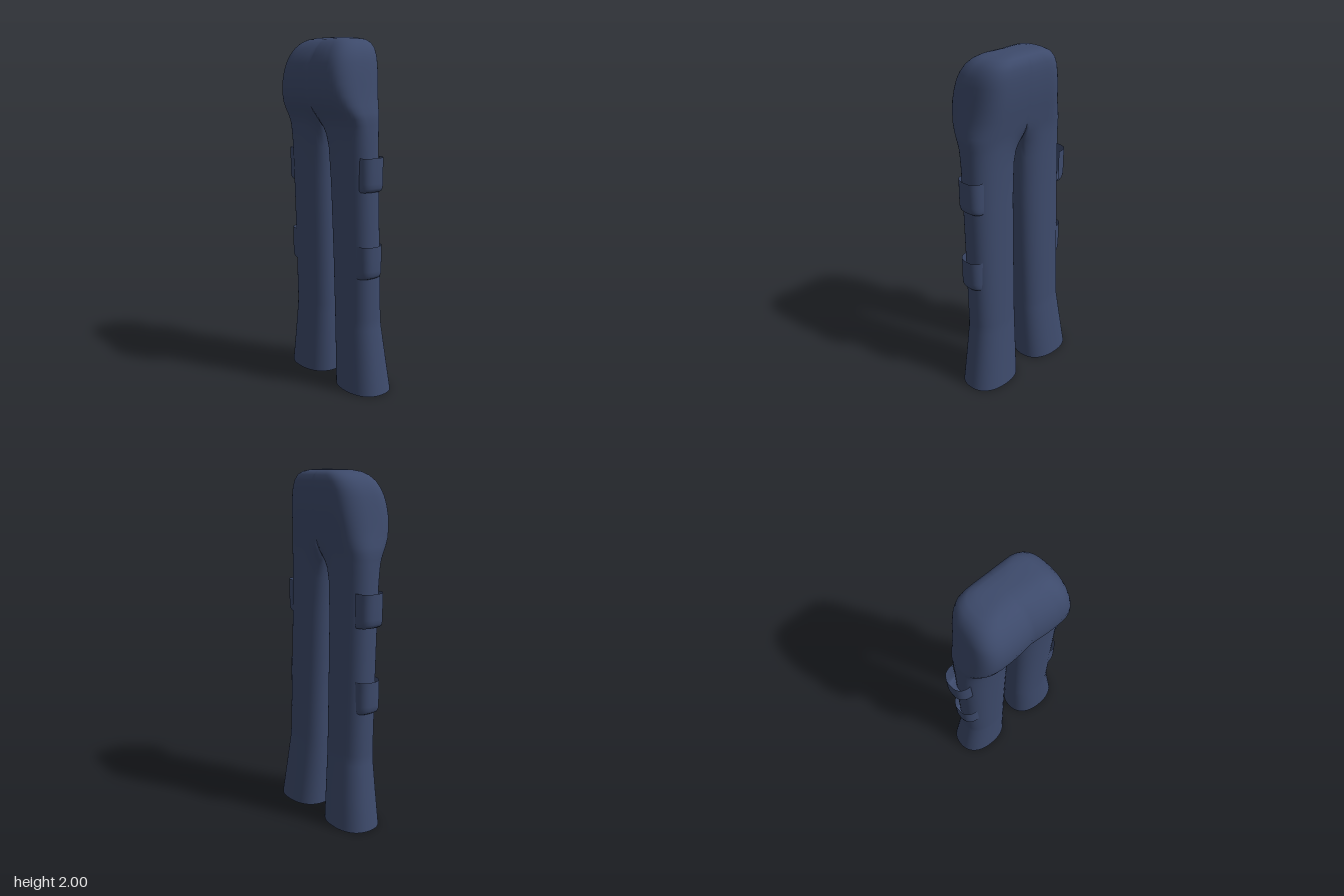
import * as THREE from 'three';
import { mergeGeometries, mergeVertices } from 'three/addons/utils/BufferGeometryUtils.js';

const cloth = new THREE.MeshStandardMaterial({ color: 0x3d4a6b, side: THREE.DoubleSide });
const N = 48;
const { lerp } = THREE.MathUtils;

// Profile rows: y, outer x, inner x, front z, back z, blend from leg (0) to hips (1)
const ROWS = [
  [0, 0.392, 0.05, 0.08, -0.19, 0],
  [0.2, 0.362, 0.046, 0.074, -0.17, 0],
  [0.38, 0.336, 0.042, 0.07, -0.152, 0],
  [0.44, 0.333, 0.041, 0.07, -0.148, 0],
  [0.8, 0.333, 0.035, 0.077, -0.135, 0],
  [1.2, 0.332, 0.028, 0.09, -0.123, 0],
  [1.4, 0.331, 0.02, 0.1, -0.121, 0.03],
  [1.47, 0.331, 0.013, 0.106, -0.122, 0.15],
  [1.51, 0.33, 0.007, 0.11, -0.123, 0.35],
  [1.535, 0.33, 0, 0.116, -0.124, 0.55],
  [1.57, 0.33, 0, 0.128, -0.126, 0.82],
  [1.6, 0.326, 0, 0.146, -0.13, 0.96],
  [1.64, 0.317, 0, 0.168, -0.135, 1],
  [1.69, 0.307, 0, 0.184, -0.142, 1],
  [1.75, 0.297, 0, 0.19, -0.15, 1],
  [1.81, 0.287, 0, 0.184, -0.155, 1],
  [1.86, 0.277, 0, 0.172, -0.157, 1],
  [1.9, 0.266, 0, 0.154, -0.157, 1],
  [1.94, 0.246, 0, 0.129, -0.154, 1],
  [1.97, 0.218, 0, 0.098, -0.144, 1],
  [1.988, 0.182, 0, 0.068, -0.126, 1],
  [1.997, 0.13, 0, 0.035, -0.1, 1],
  [2, 0.07, 0, 0.005, -0.065, 1],
  [2, 0, 0, -0.03, -0.03, 1],
];

const power = (v, n) => Math.sign(v) * Math.pow(Math.abs(v), 2 / n);

// Point j of one cross-section of the left half
function sectionPoint([y, xo, xi, zf, zb, w], j) {
  const t = (j / N) * Math.PI * 2, c = Math.cos(t), s = Math.sin(t);
  const cx = (xo + xi) / 2, rx = (xo - xi) / 2;
  const cz = (zf + zb) / 2, rz = (zf - zb) / 2;
  const n = s > 0 ? lerp(2.3, 3, w) : lerp(2.3, 2.5, w);
  let x = cx + rx * power(c, n), z = cz + rz * power(s, n);
  if (c < -1e-6) {
    // Inner side: rounded on the leg, meeting the centre line on the hips
    const a = Math.acos(Math.abs(s)) / (Math.PI / 3);
    const u = Math.min(a, 1), v = Math.max(0, (a - 1) * 2);
    const dip = s > 0 ? 0.065 * rz * u * u : 0;
    const edge = (s >= 0 ? zf : zb) - dip;
    x = lerp(x, cx * (1 - u), w);
    z = lerp(z, lerp(edge, cz, v), w);
  }
  return [Math.abs(x) < 1e-5 ? 0 : x, y, z];
}

function halfTrousers(side) {
  const pos = [], index = [];
  for (const row of ROWS)
    for (let j = 0; j < N; j++) {
      const [x, y, z] = sectionPoint(row, j);
      pos.push(x * side, y, z);
    }
  const face = (a, b, c) => {
    // Leave out the wall on the centre line
    if ([a, b, c].every((k) => Math.abs(pos[k * 3]) < 1e-5)) return;
    if (side > 0) index.push(a, b, c);
    else index.push(a, c, b);
  };
  for (let i = 0; i < ROWS.length - 1; i++)
    for (let j = 0; j < N; j++) {
      const a = i * N + j, b = i * N + ((j + 1) % N);
      face(a, a + N, b);
      face(b, a + N, b + N);
    }
  const g = new THREE.BufferGeometry();
  g.setAttribute('position', new THREE.Float32BufferAttribute(pos, 3));
  g.setIndex(index);
  return g;
}

// Pocket: bowed band, open at the top, rolled in at the bottom
function pocket(name, side, xIn, xOut, yTop) {
  const rows = [[0, 1], [0.07, 1], [0.14, 1], [0.165, 0.97], [0.18, 0.88], [0.188, 0.72], [0.19, 0.4], [0.19, 0]];
  const M = 20, pos = [], index = [];
  rows.forEach(([drop, k]) => {
    for (let j = 0; j <= M; j++) {
      const t = (j / M - 0.5) * Math.PI;
      const x = xIn + (xOut - xIn) * k * power(Math.cos(t), 2.6);
      const z = -0.022 + 0.078 * lerp(0.75, 1, k) * power(Math.sin(t), 2.6);
      pos.push(x * side, yTop - drop, z);
    }
  });
  for (let i = 0; i < rows.length - 1; i++)
    for (let j = 0; j < M; j++) {
      const a = i * (M + 1) + j, b = a + 1, c = a + M + 1, d = c + 1;
      if (side > 0) index.push(a, b, c, b, d, c);
      else index.push(a, c, b, b, c, d);
    }
  const g = new THREE.BufferGeometry();
  g.setAttribute('position', new THREE.Float32BufferAttribute(pos, 3));
  g.setIndex(index);
  g.computeVertexNormals();
  const mesh = new THREE.Mesh(g, cloth);
  mesh.name = name;
  return mesh;
}

export function createModel() {
  const group = new THREE.Group();
  group.name = 'trousers';

  // Hips and both legs as one smooth skin
  const skin = mergeVertices(mergeGeometries([halfTrousers(1), halfTrousers(-1)]), 1e-5);
  skin.computeVertexNormals();
  const body = new THREE.Mesh(skin, cloth);
  body.name = 'hipsAndLegs';
  group.add(body);

  // Side pockets, two on each leg
  group.add(
    pocket('upperLeftPocket', 1, 0.288, 0.36, 1.363),
    pocket('lowerLeftPocket', 1, 0.268, 0.36, 0.873),
    pocket('upperRightPocket', -1, 0.3, 0.384, 1.363),
    pocket('lowerRightPocket', -1, 0.275, 0.365, 0.873),
  );
  return group;
}
